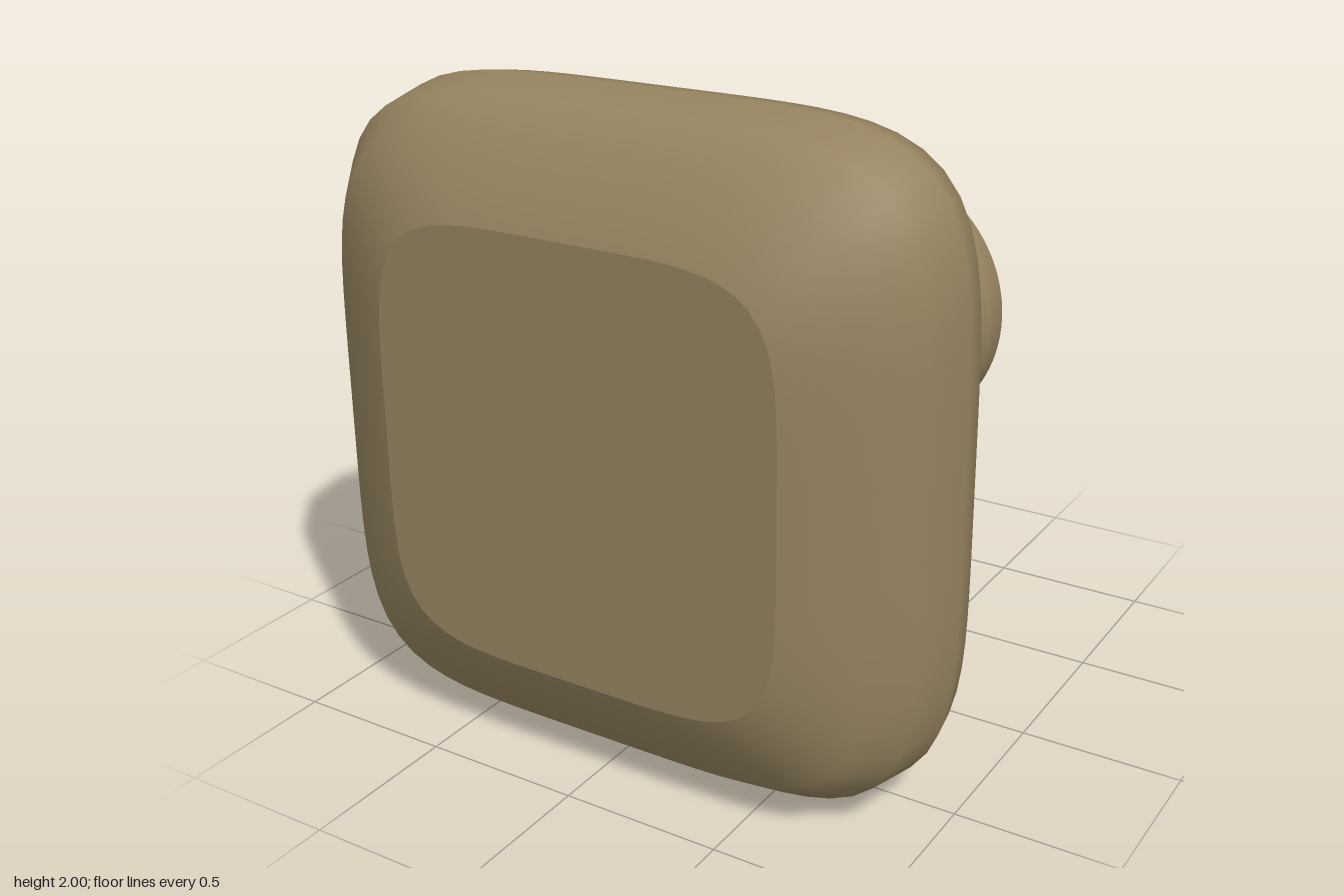
import * as THREE from 'three';
import { mergeVertices } from 'three/addons/utils/BufferGeometryUtils.js';

const SEGMENTS = 96;
const material = new THREE.MeshStandardMaterial({ color: 0x95835f });

// Push a round section around z out to a superellipse; power 2 stays round
function squareOff(geometry, power) {
  const p = geometry.attributes.position;
  for (let i = 0; i < p.count; i++) {
    const x = p.getX(i), y = p.getY(i), r = Math.hypot(x, y);
    if (r < 1e-6) continue;
    const s = Math.pow(Math.abs(x / r) ** power + Math.abs(y / r) ** power, -1 / power);
    p.setXY(i, x * s, y * s);
  }
  return geometry;
}

// Smooth wall along z from [z, radius] pairs, back to front
function wall(name, profile, power) {
  const points = profile.map(([z, r]) => new THREE.Vector2(r, z));
  let geometry = new THREE.LatheGeometry(points, SEGMENTS).rotateX(Math.PI / 2);
  squareOff(geometry, power);
  geometry.deleteAttribute('uv');
  geometry.deleteAttribute('normal');
  geometry = mergeVertices(geometry, 1e-5);
  geometry.computeVertexNormals();
  const mesh = new THREE.Mesh(geometry, material);
  mesh.name = name;
  return mesh;
}

// Flat face closing one end of a wall
function cap(name, [z, r], power, facesBack) {
  const geometry = new THREE.CircleGeometry(r, SEGMENTS);
  if (facesBack) geometry.rotateY(Math.PI);
  squareOff(geometry, power).translate(0, 0, z);
  const mesh = new THREE.Mesh(geometry, material);
  mesh.name = name;
  return mesh;
}

export function createModel() {
  const model = new THREE.Group();
  model.name = 'knob';

  // Pillow-shaped square head
  const head = new THREE.Group();
  head.name = 'head';
  const headProfile = [
    [0.23, 0.63], [0.34, 0.88], [0.435, 0.985], [0.53, 1],
    [0.715, 0.97], [0.845, 0.88], [0.94, 0.66],
  ];
  head.add(
    wall('headRim', headProfile, 5),
    cap('headBack', headProfile[0], 5, true),
    cap('headFront', headProfile.at(-1), 5, false),
  );

  // Waisted round stem, flaring into the foot
  const stem = new THREE.Group();
  stem.name = 'stem';
  const stemProfile = [
    [-0.94, 0.45], [-0.88, 0.49], [-0.77, 0.49], [-0.66, 0.43], [-0.53, 0.32],
    [-0.34, 0.25], [-0.13, 0.24], [0.05, 0.28], [0.21, 0.39], [0.24, 0.43],
  ];
  stem.add(
    wall('stemSide', stemProfile, 2),
    cap('footFace', stemProfile[0], 2, true),
  );

  model.add(head, stem);
  model.position.y = 1;
  return model;
}
